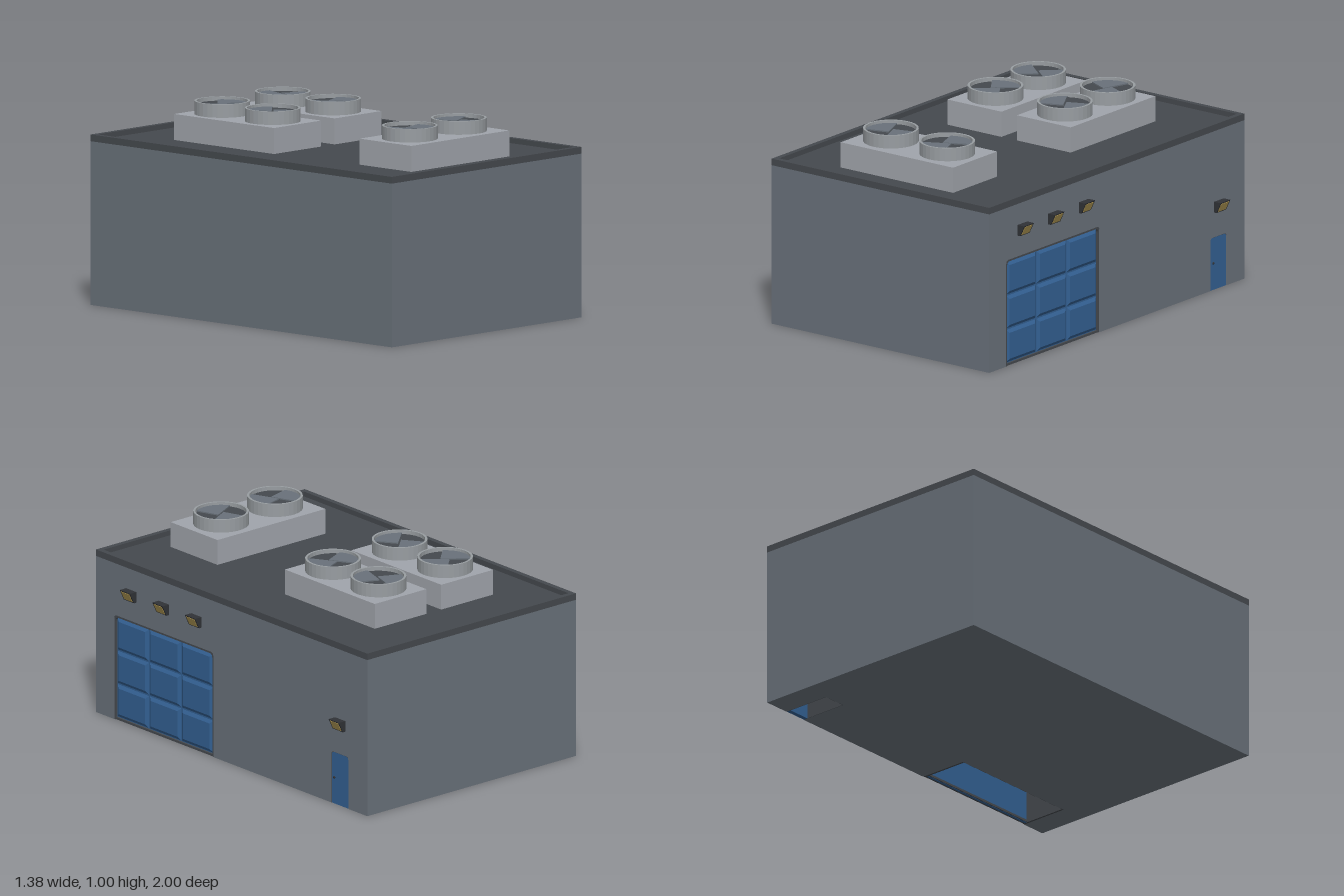
import * as THREE from 'three';

const mat = (name, color) => Object.assign(new THREE.MeshStandardMaterial({ color }), { name });

export function createModel() {
  const wall = mat('wall grey', 0x69717a);
  const dark = mat('roof dark grey', 0x45494e);
  const metal = mat('unit light grey', 0xa0a4ab);
  const ringGrey = mat('fan ring grey', 0x989da1);
  const blue = mat('door blue', 0x336092);
  const yellow = mat('lamp yellow', 0xb39a55);
  const black = mat('lamp housing', 0x303236);

  const model = new THREE.Group();
  model.name = 'warehouse';
  const add = (name, geo, material, parent = model) => {
    const m = new THREE.Mesh(geo, material);
    m.name = name;
    parent.add(m);
    return m;
  };
  // box given by its minimum and maximum corners
  const box = (name, a, b, material, parent) => {
    const g = new THREE.BoxGeometry(b[0] - a[0], b[1] - a[1], b[2] - a[2]);
    g.translate((a[0] + b[0]) / 2, (a[1] + b[1]) / 2, (a[2] + b[2]) / 2);
    return add(name, g, material, parent);
  };
  // extrudes a (-z, y) outline along x, starting at x0
  const alongX = (shape, x0, depth) =>
    new THREE.ExtrudeGeometry(shape, { depth, bevelEnabled: false, curveSegments: 4 })
      .rotateY(Math.PI / 2).translate(x0, 0, 0);

  const X0 = -0.69, X1 = 0.645, PIT = 0.39;
  const doors = [
    { name: 'loadingDoor', z0: 0.135, z1: 0.867, h: 0.535, r: 0.02 },
    { name: 'sideDoor', z0: -0.86, z1: -0.735, h: 0.265, r: 0.015 },
  ];

  // door outline with rounded upper corners, shrunk by e; runs from bottom left to bottom right
  const doorPath = (path, d, e) => {
    const a = -d.z1 + e, b = -d.z0 - e, t = d.h - e, r = d.r;
    path.lineTo(a, 0);
    path.lineTo(a, t - r);
    path.quadraticCurveTo(a, t, a + r, t);
    path.lineTo(b - r, t);
    path.quadraticCurveTo(b, t, b, t - r);
    path.lineTo(b, 0);
    return path;
  };

  // building: solid block and a door side with two open recesses
  box('mainBlock', [X0, 0, -1], [PIT, 0.8, 1], wall);
  const side = new THREE.Shape();
  side.moveTo(-1, 0);
  doors.forEach((d) => doorPath(side, d, 0));
  side.lineTo(1, 0);
  side.lineTo(1, 0.8);
  side.lineTo(-1, 0.8);
  add('doorWall', alongX(side, PIT, X1 - PIT), wall);

  // roof deck and parapet
  box('roofDeck', [X0 + 0.01, 0.795, -0.99], [X1 - 0.01, 0.808, 0.99], dark);
  const P = 0.026;
  for (const s of [-1, 1]) {
    const zs = [s, s * (1 - P)].sort((p, q) => p - q);
    box('parapetEnd', [X0, 0.8, zs[0]], [X1, 0.833, zs[1]], dark);
    const x = s < 0 ? X0 : X1 - P;
    box('parapetSide', [x, 0.8, -1 + P], [x + P, 0.833, 1 - P], dark);
  }

  // doors: leaf, dark reveal and the back of each recess
  for (const d of doors) {
    const g = new THREE.Group();
    g.name = d.name;
    model.add(g);
    const big = d.name === 'loadingDoor';
    const e = big ? 0.01 : 0.002;

    const reveal = new THREE.Shape();
    reveal.moveTo(-d.z1, 0);
    doorPath(reveal, d, 0);
    const inner = doorPath(new THREE.Path().moveTo(-d.z1 + e, 0), d, e).getPoints(4).reverse();
    inner.forEach((p) => reveal.lineTo(p.x, p.y));
    add('doorReveal', alongX(reveal, PIT, X1 - PIT - 0.002), dark, g);
    box('recessBack', [PIT, 0.002, d.z0], [PIT + 0.004, d.h - 0.01, d.z1], dark, g);

    const leaf = new THREE.Shape();
    leaf.moveTo(-d.z1 + e, 0);
    doorPath(leaf, d, e);
    add('doorLeaf', alongX(leaf, 0.62, big ? 0.012 : 0.023), blue, g);

    if (!big) {
      const knob = add('doorHandle', new THREE.SphereGeometry(0.006, 10, 8), black, g);
      knob.position.set(0.645, 0.135, -0.757);
      continue;
    }
    box('doorSill', [0.615, 0.001, d.z0 + e], [0.642, 0.012, d.z1 - e], dark, g);

    // three by three raised panels with sloping edges
    const w = (d.z1 - d.z0 - 2 * e) / 3, h = (d.h - e - 0.012) / 3, b = 0.016;
    for (let i = 0; i < 3; i++) {
      for (let j = 0; j < 3; j++) {
        const u = -d.z1 + e + i * w, v = 0.012 + j * h, m = b + 0.004;
        const s = new THREE.Shape([
          new THREE.Vector2(u + m, v + m), new THREE.Vector2(u + w - m, v + m),
          new THREE.Vector2(u + w - m, v + h - m), new THREE.Vector2(u + m, v + h - m),
        ]);
        const geo = new THREE.ExtrudeGeometry(s, {
          depth: 0.001, bevelSize: b, bevelThickness: 0.01, bevelSegments: 1,
        }).rotateY(Math.PI / 2).translate(0.632, 0, 0);
        add('doorPanel', geo, blue, g);
      }
    }
  }

  // wedge-shaped wall lamps with a glowing slanted face
  for (const [z, y] of [[0.74, 0.667], [0.5, 0.667], [0.26, 0.667], [-0.8, 0.417]]) {
    const g = new THREE.Group();
    g.name = 'wallLamp';
    g.position.set(X1, y, z);
    model.add(g);
    const s = new THREE.Shape([
      new THREE.Vector2(0, -0.027), new THREE.Vector2(0.015, -0.027),
      new THREE.Vector2(0.041, 0.027), new THREE.Vector2(0, 0.027),
    ]);
    const geo = new THREE.ExtrudeGeometry(s, { depth: 0.076, bevelEnabled: false });
    add('lampHousing', geo.translate(0, 0, -0.038), black, g);
    const lens = add('lampLens', new THREE.BoxGeometry(0.004, 0.047, 0.06), yellow, g);
    lens.position.set(0.028, 0, 0);
    lens.rotation.z = -Math.atan2(0.026, 0.054);
  }

  // round fan: open ring, dark well and two wedge blades
  const ringProfile = [[0.124, 0.935], [0.135, 0.935], [0.135, 1], [0.124, 1], [0.124, 0.935]]
    .map(([r, y]) => new THREE.Vector2(r, y));
  const addFan = (x, z, angle, parent) => {
    const g = new THREE.Group();
    g.name = 'fan';
    g.position.set(x, 0, z);
    parent.add(g);
    const ring = new THREE.LatheGeometry(ringProfile, 32).toNonIndexed();
    ring.computeVertexNormals();
    add('fanRing', ring, ringGrey, g);
    add('fanWell', new THREE.CylinderGeometry(0.125, 0.125, 0.045, 32).translate(0, 0.958, 0), dark, g);
    for (const turn of [0, Math.PI]) {
      const s = new THREE.Shape();
      s.moveTo(-0.012, -0.012);
      s.absarc(0, 0, 0.123, -0.8, 0.8, false);
      s.lineTo(-0.012, 0.02);
      const geo = new THREE.ExtrudeGeometry(s, { depth: 0.006, bevelEnabled: false, curveSegments: 12 });
      const blade = add('fanBlade', geo.rotateX(-Math.PI / 2), wall, g);
      blade.position.y = 0.981;
      blade.rotation.y = angle + turn;
    }
  };

  // rooftop units: extents in x and z, then fans as x, z, blade angle
  const units = [
    [-0.422, -0.09, -0.698, -0.035, [[-0.256, -0.535, 0.15], [-0.256, -0.2, 1.57]]],
    [0.005, 0.335, -0.698, -0.035, [[0.17, -0.535, 2.1], [0.17, -0.2, -0.2]]],
    [-0.388, 0.302, 0.5, 0.845, [[-0.215, 0.672, -0.35], [0.13, 0.672, 1.3]]],
  ];
  for (const [xa, xb, za, zb, fans] of units) {
    const g = new THREE.Group();
    g.name = 'rooftopUnit';
    model.add(g);
    box('unitCasing', [xa, 0.8, za], [xb, 0.935, zb], metal, g);
    fans.forEach(([x, z, a]) => addFan(x, z, a, g));
  }

  return model;
}
